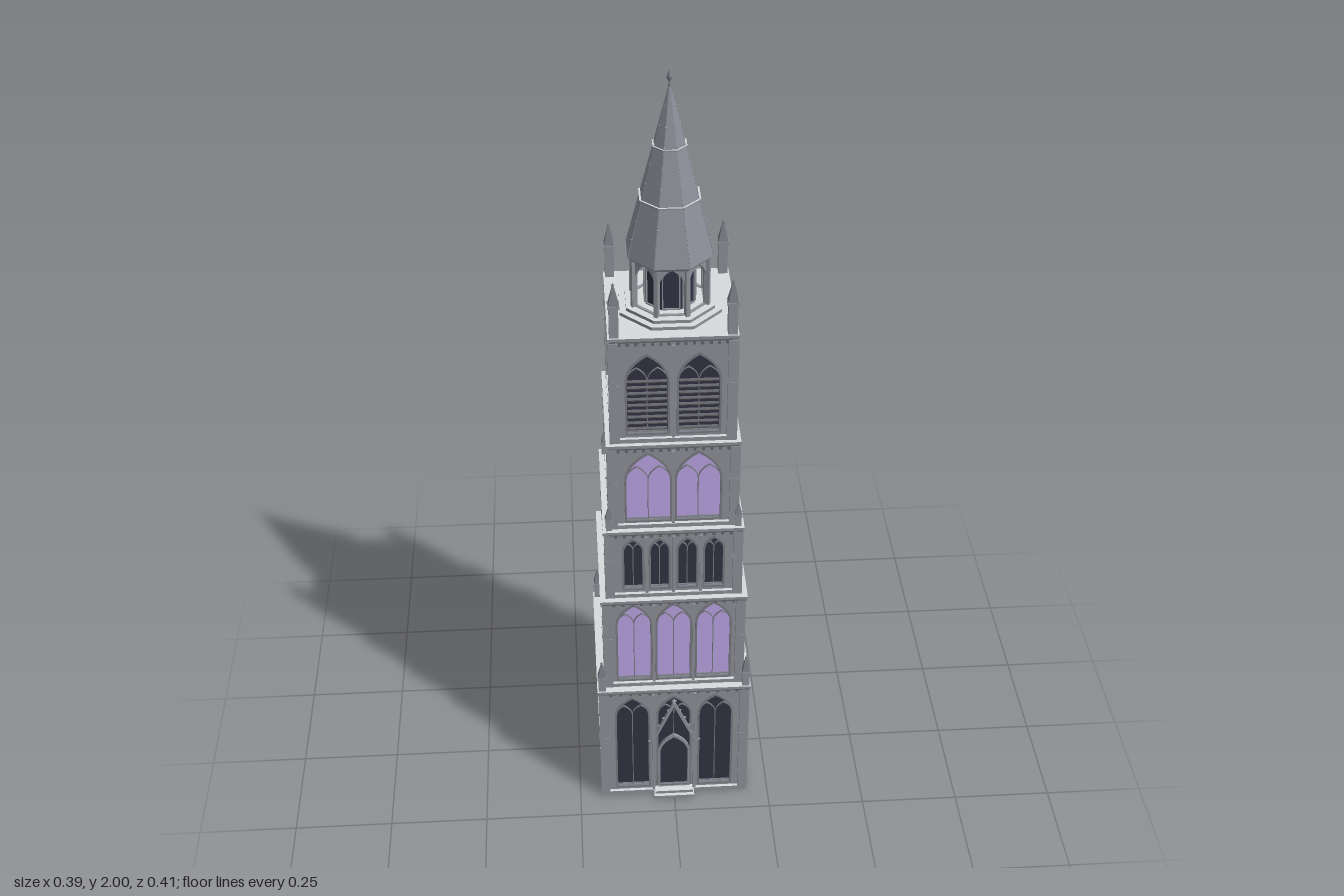
import * as THREE from 'three';

const mat = (name, color) => Object.assign(new THREE.MeshStandardMaterial({ color, flatShading: true }), { name });
const M = {
  stone: mat('wall stone', 0x8f9199),
  moulding: mat('moulding stone', 0x7a7c84),
  trim: mat('pale ledge stone', 0xd8d9dc),
  dark: mat('dark carved stone', 0x66686f),
  slate: mat('spire slate', 0x8c8e98),
  glass: mat('violet glass', 0xbda5e6),
  shadow: mat('dark window', 0x323244),
  louvre: mat('louvre wood', 0x5a4c42),
};

function add(parent, geo, material, name, x = 0, y = 0, z = 0) {
  const mesh = new THREE.Mesh(geo, material);
  mesh.name = name;
  mesh.position.set(x, y, z);
  parent.add(mesh);
  return mesh;
}

// Box given by its bottom height
const box = (parent, w, h, d, material, name, x, y, z) =>
  add(parent, new THREE.BoxGeometry(w, h, d), material, name, x, y + h / 2, z);

// Octagonal drum or cone with flats facing the axes; sizes are apothems.
// materials may be [side, top, bottom]
function octagon(parent, top, bottom, h, material, name, y) {
  const k = 1 / Math.cos(Math.PI / 8);
  const mesh = add(parent, new THREE.CylinderGeometry(top * k, bottom * k, h, 8), material, name, 0, y + h / 2, 0);
  mesh.rotation.y = Math.PI / 8;
}

// Stone blocks with a pale upper face
const paleTopBox = [M.stone, M.stone, M.trim, M.stone, M.stone, M.stone];
const paleTopDrum = [M.stone, M.trim, M.stone];

// Pointed arch outline
function arch(path, cx, y0, hw, top) {
  const spring = top - hw * 1.55, ctrl = spring + hw * 0.95;
  path.moveTo(cx - hw, y0);
  path.lineTo(cx + hw, y0);
  path.lineTo(cx + hw, spring);
  path.quadraticCurveTo(cx + hw, ctrl, cx, top);
  path.quadraticCurveTo(cx - hw, ctrl, cx - hw, spring);
  path.lineTo(cx - hw, y0);
  return path;
}

const extrude = (shape, depth) =>
  new THREE.ExtrudeGeometry(shape, { depth, bevelEnabled: false, curveSegments: 6 });

function archFrame(parent, cx, y0, hw, top, t, depth, z, material, name) {
  const shape = arch(new THREE.Shape(), cx, y0, hw, top);
  shape.holes.push(arch(new THREE.Path(), cx, y0 + t, hw - t, top - t * 1.5));
  add(parent, extrude(shape, depth), material, name, 0, 0, z);
}

// Recessed window: pane, moulding and twin lancets
function windowBay(side, t, cx, face) {
  const { hw, sill, head } = t;
  add(side, new THREE.ShapeGeometry(arch(new THREE.Shape(), cx, sill, hw, head), 6), t.pane, 'windowPane', 0, 0, face - 0.012);
  archFrame(side, cx, sill - 0.003, hw + 0.003, head + 0.005, 0.005, 0.007, face - 0.005, M.moulding, 'windowMoulding');
  for (const s of [-1, 1])
    archFrame(side, cx + s * hw / 2, sill, hw / 2 + 0.0005, head - hw * 0.8, 0.0016, 0.004, face - 0.012, M.moulding, 'lancetTracery');
  if (t.louvres)
    // stone-topped slats with timber undersides
    for (let i = 0; i < 9; i++) {
      const y = sill + 0.01 + i * 0.0165;
      box(side, hw * 2 - 0.006, 0.0015, 0.009, M.dark, 'louvreTop', cx, y, face - 0.007);
      box(side, hw * 2 - 0.006, 0.0015, 0.009, M.louvre, 'louvreUnderside', cx, y - 0.0015, face - 0.007);
    }
}

// Square shaft with pyramid cap and bud
function pinnacle(parent, x, z, y, w, shaft, cap, name) {
  const g = new THREE.Group();
  g.name = name;
  g.position.set(x, y, z);
  box(g, w * 0.8, shaft, w * 0.8, M.stone, 'shaft', 0, 0, 0);
  box(g, w, 0.007, w, M.stone, 'collar', 0, shaft, 0);
  add(g, new THREE.ConeGeometry(w * 0.62, cap, 4).rotateY(Math.PI / 4), M.moulding, 'cap', 0, shaft + 0.007 + cap / 2, 0);
  add(g, new THREE.OctahedronGeometry(w * 0.17), M.moulding, 'bud', 0, shaft + cap, 0);
  parent.add(g);
}

const tiers = [
  { y: 0, top: 0.38, face: 0.185, ledge: 0.197, xs: [-0.108, 0, 0.108], hw: 0.043, sill: 0.022, head: 0.345, pane: M.shadow },
  { y: 0.38, top: 0.672, face: 0.17, ledge: 0.183, xs: [-0.1, 0, 0.1], hw: 0.043, sill: 0.398, head: 0.648, pane: M.glass },
  { y: 0.672, top: 0.882, face: 0.16, ledge: 0.171, xs: [-0.099, -0.034, 0.034, 0.099], hw: 0.024, sill: 0.695, head: 0.85, pane: M.shadow },
  { y: 0.882, top: 1.13, face: 0.149, ledge: 0.159, xs: [-0.06, 0.06], hw: 0.054, sill: 0.9, head: 1.1, pane: M.glass },
  { y: 1.13, top: 1.42, face: 0.14, ledge: 0.149, xs: [-0.06, 0.06], hw: 0.049, sill: 1.152, head: 1.37, pane: M.shadow, louvres: true },
];

function buildTier(t, index) {
  const g = new THREE.Group();
  g.name = 'tier' + (index + 1);
  const h = t.top - t.y, f = t.face, inner = (f - 0.013) * 2;
  box(g, inner, h, inner, M.stone, 'core', 0, t.y, 0);
  for (let k = 0; k < 4; k++) {
    const side = new THREE.Group();
    side.name = 'wallSide';
    side.rotation.y = k * Math.PI / 2;
    g.add(side);
    const wall = new THREE.Shape([[-f, t.y], [f, t.y], [f, t.top], [-f, t.top]].map(p => new THREE.Vector2(...p)));
    for (const x of t.xs) wall.holes.push(arch(new THREE.Path(), x, t.sill, t.hw, t.head));
    add(side, extrude(wall, 0.013), M.stone, 'wall', 0, 0, f - 0.013);
    for (const x of t.xs) windowBay(side, t, x, f);
    // slim piers between the bays
    for (let i = 1; i < t.xs.length; i++)
      box(side, 0.007, h - 0.035, 0.008, M.stone, 'pier', (t.xs[i] + t.xs[i - 1]) / 2, t.y + 0.012, f + 0.002);
    // corbels under the ledge
    for (let i = 0; i < 14; i++)
      box(side, 0.007, 0.008, 0.007, M.dark, 'corbel', (i - 6.5) * f * 0.135, t.top - 0.022, f + 0.002);
    // corner buttress
    const c = f - 0.003;
    box(side, 0.024, h - 0.012, 0.024, M.stone, 'cornerButtress', c, t.y, c);
    box(side, 0.026, 0.005, 0.026, M.stone, 'buttressBand', c, t.y + h * 0.55, c);
  }
  box(g, f * 2 + 0.016, 0.012, f * 2 + 0.016, paleTopBox, 'plinth', 0, t.y, 0);
  box(g, t.ledge * 2 - 0.006, 0.006, t.ledge * 2 - 0.006, M.dark, 'ledgeMoulding', 0, t.top - 0.013, 0);
  box(g, t.ledge * 2, 0.008, t.ledge * 2, paleTopBox, 'ledge', 0, t.top - 0.007, 0);
  return g;
}

function buildPortal(tower) {
  const g = new THREE.Group();
  g.name = 'portal';
  tower.add(g);
  const z = 0.181;
  add(g, extrude(arch(new THREE.Shape(), 0, 0.02, 0.035, 0.2), 0.004), M.shadow, 'door', 0, 0, z - 0.006);
  archFrame(g, 0, 0.012, 0.042, 0.21, 0.006, 0.008, z, M.stone, 'doorFrame');
  // steep gable above the door
  for (const s of [-1, 1]) {
    const bar = add(g, new THREE.BoxGeometry(0.007, 0.155, 0.009), M.stone, 'gableRake', s * 0.03, 0.25, z + 0.005);
    bar.rotation.z = s * 0.4;
    for (let i = 0; i < 5; i++)
      add(g, new THREE.OctahedronGeometry(0.005), M.stone, 'gableCrocket', s * (0.065 - i * 0.0125), 0.19 + i * 0.027, z + 0.006);
    box(g, 0.007, 0.18, 0.007, M.stone, 'doorShaft', s * 0.054, 0.012, z + 0.004);
  }
  add(g, new THREE.OctahedronGeometry(0.008), M.stone, 'gableFinial', 0, 0.33, z + 0.005);
  box(g, 0.1, 0.018, 0.02, paleTopBox, 'upperStep', 0, 0, 0.196);
  box(g, 0.106, 0.009, 0.03, paleTopBox, 'lowerStep', 0, 0, 0.2);
}

function buildLantern(tower) {
  const g = new THREE.Group();
  g.name = 'lantern';
  tower.add(g);
  octagon(g, 0.117, 0.117, 0.009, paleTopDrum, 'lowerPlatform', 1.42);
  octagon(g, 0.102, 0.102, 0.008, paleTopDrum, 'upperPlatform', 1.429);
  octagon(g, 0.056, 0.056, 0.13, M.shadow, 'lanternCore', 1.436);
  for (let k = 0; k < 8; k++) {
    const side = new THREE.Group();
    side.name = 'arcadeSide';
    side.rotation.y = k * Math.PI / 4;
    g.add(side);
    const a = 0.084, w = a * Math.tan(Math.PI / 8);
    const panel = new THREE.Shape([[-w, 1.437], [w, 1.437], [w, 1.566], [-w, 1.566]].map(p => new THREE.Vector2(...p)));
    panel.holes.push(arch(new THREE.Path(), 0, 1.439, w - 0.005, 1.556));
    add(side, extrude(panel, 0.008), M.stone, 'arcade', 0, 0, a - 0.008);
    archFrame(side, 0, 1.438, 0.021, 1.552, 0.003, 0.004, 0.056, M.stone, 'innerArch');
    const post = new THREE.Group();
    post.name = 'arcadePost';
    post.rotation.y = Math.PI / 8;
    side.add(post);
    box(post, 0.01, 0.12, 0.012, M.stone, 'post', 0, 1.437, a / Math.cos(Math.PI / 8));
  }
  octagon(g, 0.095, 0.09, 0.01, M.stone, 'eaves', 1.557);
}

function buildSpire(tower) {
  const g = new THREE.Group();
  g.name = 'spire';
  tower.add(g);
  const y0 = 1.566, y1 = 1.965, r = 0.097, len = y1 - y0;
  octagon(g, 0.002, r, len, M.slate, 'spireRoof', y0);
  for (const y of [1.7, 1.825]) {
    const a = r * (y1 - y) / len + 0.004;
    octagon(g, a, a, 0.004, paleTopDrum, 'spireBand', y);
  }
  // ribs with crockets along the eight hips
  const R = r / Math.cos(Math.PI / 8);
  for (let k = 0; k < 8; k++) {
    const hip = new THREE.Group();
    hip.name = 'spireHip';
    hip.rotation.y = Math.PI / 8 + k * Math.PI / 4;
    g.add(hip);
    const rib = add(hip, new THREE.BoxGeometry(0.002, Math.hypot(len, R), 0.002), M.slate, 'rib', 0, (y0 + y1) / 2, R / 2);
    rib.rotation.x = -Math.atan2(R, len);
    for (let i = 1; i < 9; i++)
      add(hip, new THREE.OctahedronGeometry(0.0028), M.stone, 'crocket', 0, y0 + len * i / 9, R * (1 - i / 9) + 0.001);
  }
  add(g, new THREE.CylinderGeometry(0.002, 0.004, 0.04, 6), M.moulding, 'finialStem', 0, 1.965, 0);
  add(g, new THREE.OctahedronGeometry(0.008).scale(0.9, 2, 0.9), M.moulding, 'finialBud', 0, 1.984, 0);
}

export function createModel() {
  const model = new THREE.Group();
  model.name = 'gothicTower';
  const tower = new THREE.Group();
  tower.name = 'tower';
  tower.position.z = -0.01;
  model.add(tower);

  tiers.forEach((t, i) => tower.add(buildTier(t, i)));
  buildPortal(tower);
  for (const sx of [-1, 1]) for (const sz of [-1, 1]) {
    pinnacle(tower, sx * 0.184, sz * 0.184, 0.38, 0.023, 0.04, 0.05, 'basePinnacle');
    pinnacle(tower, sx * 0.156, sz * 0.156, 0.882, 0.019, 0.028, 0.04, 'middlePinnacle');
    pinnacle(tower, sx * 0.134, sz * 0.134, 1.42, 0.027, 0.078, 0.056, 'topPinnacle');
  }
  buildLantern(tower);
  buildSpire(tower);
  return model;
}
